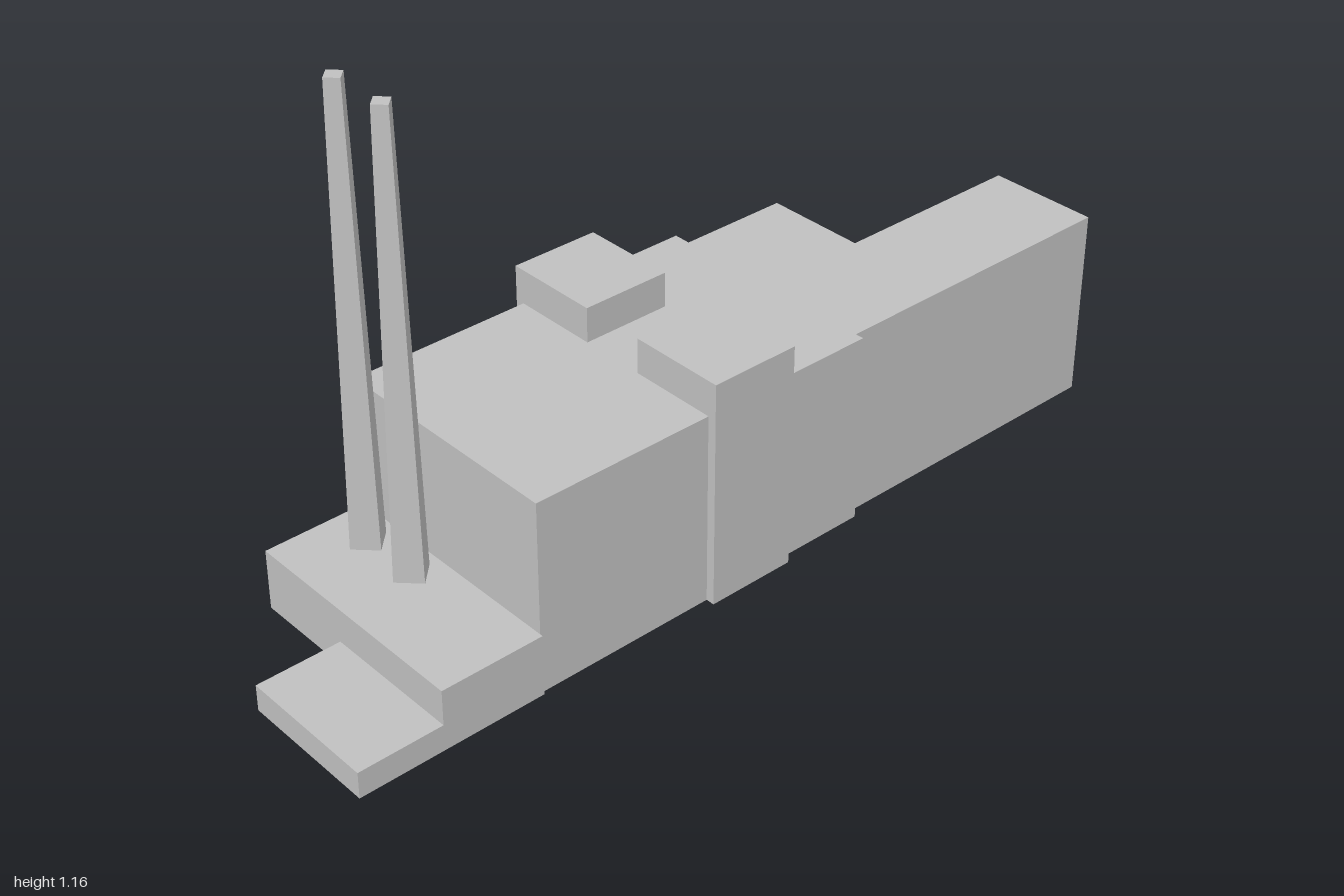
import * as THREE from 'three';

export function createModel() {
  const model = new THREE.Group();
  model.name = 'powerStation';
  const concrete = new THREE.MeshStandardMaterial({ color: 0xc0c0c0, side: THREE.DoubleSide, flatShading: true });
  concrete.name = 'concrete grey';

  const add = (name, geometry) => {
    const mesh = new THREE.Mesh(geometry, concrete);
    mesh.name = name;
    model.add(mesh);
    return mesh;
  };

  // Box standing on the ground with no underside
  const shell = (name, x0, x1, z0, z1, height) => {
    const geo = new THREE.BoxGeometry(x1 - x0, height, z1 - z0);
    const index = Array.from(geo.index.array);
    index.splice(18, 6); // the downward face
    geo.setIndex(index);
    geo.clearGroups();
    geo.translate((x0 + x1) / 2, height / 2, (z0 + z1) / 2);
    return add(name, geo);
  };

  // Halls
  shell('mainHall', -0.28, 0.28, -0.277, 0.57, 0.44);
  shell('middleHall', -0.24, 0.26, -0.54, -0.277, 0.44);
  shell('rearHall', 0, 0.26, -1, -0.54, 0.44);
  shell('rearTerrace', -0.24, 0, -1, -0.54, 0.07);

  // Side towers
  shell('rightTower', -0.302, -0.077, -0.063, 0.145, 0.52);
  shell('leftTower', 0.075, 0.3, -0.063, 0.145, 0.52);

  // Stepped front annexes
  shell('frontAnnex', -0.28, 0.287, 0.57, 0.807, 0.14);
  shell('frontStep', -0.037, 0.287, 0.807, 1, 0.06);

  // Tapered four-sided chimneys, set cornerwise
  for (const x of [-0.173, -0.031]) {
    const geo = new THREE.CylinderGeometry(0.023, 0.044, 1.02, 4);
    add('chimney', geo).position.set(x, 0.65, 0.637);
  }

  // Sawtooth skylights on the terrace
  for (const x of [-0.225, -0.15, -0.075]) {
    const tooth = new THREE.Shape([
      new THREE.Vector2(0, 0),
      new THREE.Vector2(0.05, 0),
      new THREE.Vector2(0.012, 0.03),
    ]);
    const geo = new THREE.ExtrudeGeometry(tooth, { depth: 0.43, bevelEnabled: false });
    add('skylight', geo).position.set(x, 0.07, -0.99);
  }

  return model;
}
